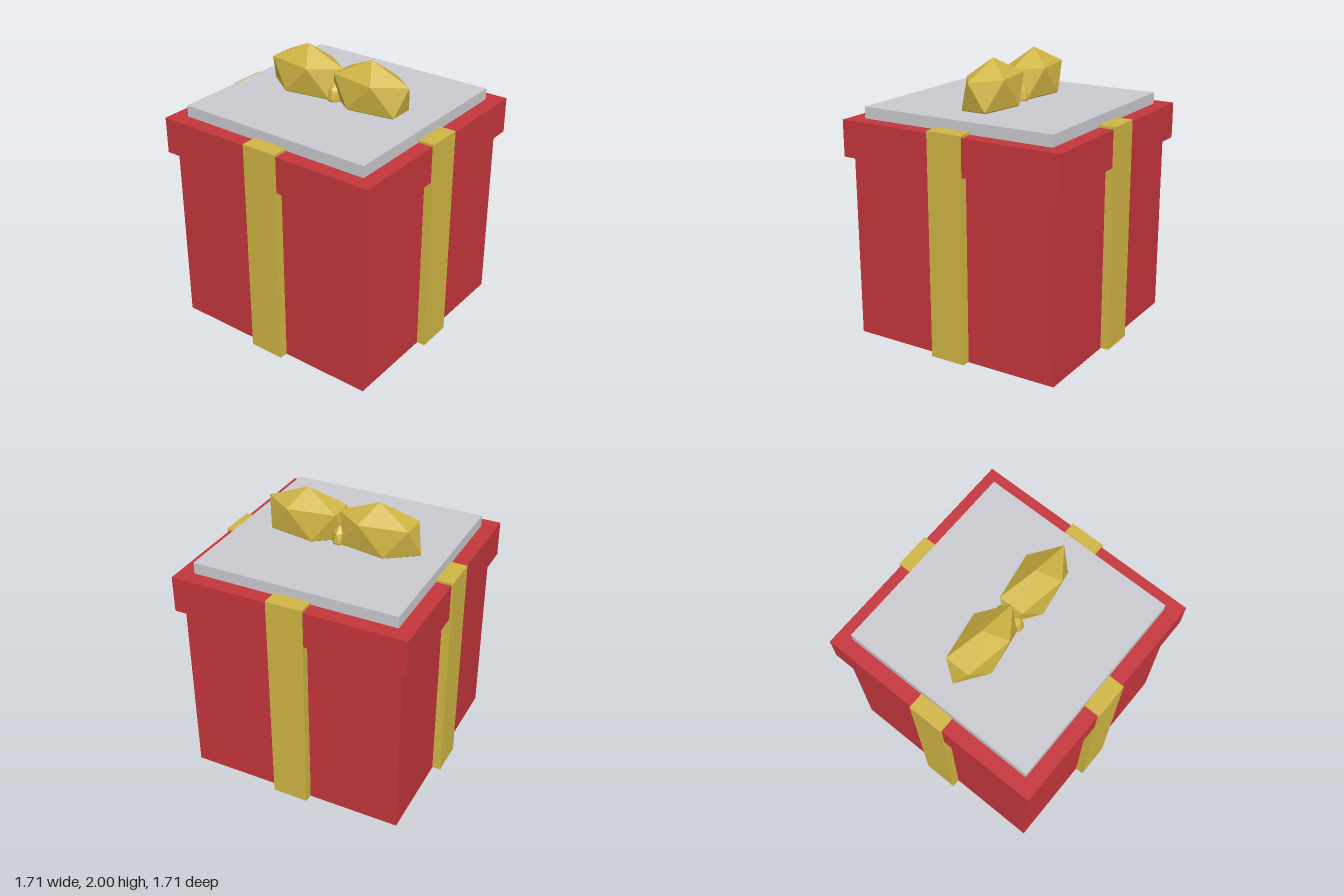
import * as THREE from 'three';

export function createModel() {
  const model = new THREE.Group();
  model.name = 'giftBox';
  const red = new THREE.MeshStandardMaterial({ color: 0xc4363c });
  red.name = 'red';
  const gold = new THREE.MeshStandardMaterial({ color: 0xd0b544 });
  gold.name = 'gold';
  const silver = new THREE.MeshStandardMaterial({ color: 0xcacad0 });
  silver.name = 'silver';

  const add = (name, geometry, material, x, y, z) => {
    const mesh = new THREE.Mesh(geometry, material);
    mesh.name = name;
    mesh.position.set(x, y, z);
    model.add(mesh);
    return mesh;
  };
  // Upright block between two heights
  const block = (name, w, d, y0, y1, material, x = 0, z = 0) =>
    add(name, new THREE.BoxGeometry(w, y1 - y0, d), material, x, (y0 + y1) / 2, z);

  // Faceted ball standing on a vertex, stretched to the given radii
  const facetedBall = (detail, rx, ry, rz, turn = 0) => {
    const g = new THREE.IcosahedronGeometry(1, detail);
    g.rotateZ(-Math.atan(2 / (1 + Math.sqrt(5))));
    g.rotateY(turn);
    g.scale(rx, ry, rz);
    g.computeVertexNormals(); // unshared corners give flat facets
    return g;
  };

  // Box, lid and top plate
  block('box', 1.59, 1.59, 0, 1.4, red);
  block('lid', 1.69, 1.69, 1.322, 1.583, red);
  block('topPlate', 1.475, 1.475, 1.57, 1.665, silver);

  // One ribbon down the middle of each side, just clear of the base plane
  for (let i = 0; i < 4; i++) {
    const a = (i * Math.PI) / 2;
    const ribbon = block('ribbon', 0.262, 0.13, 0.003, 1.6, gold,
      Math.sin(a) * 0.792, Math.cos(a) * 0.792);
    ribbon.rotation.y = a;
  }

  // Bow: two loops and a knot
  for (const [name, x] of [['rightBowLoop', -0.268], ['leftBowLoop', 0.266]]) {
    add(name, facetedBall(0, 0.341, 0.226, 0.175), gold, x, 1.774, 0);
  }
  add('bowKnot', facetedBall(1, 0.065, 0.13, 0.115, Math.PI / 2), gold, 0.003, 1.68, 0);

  return model;
}
